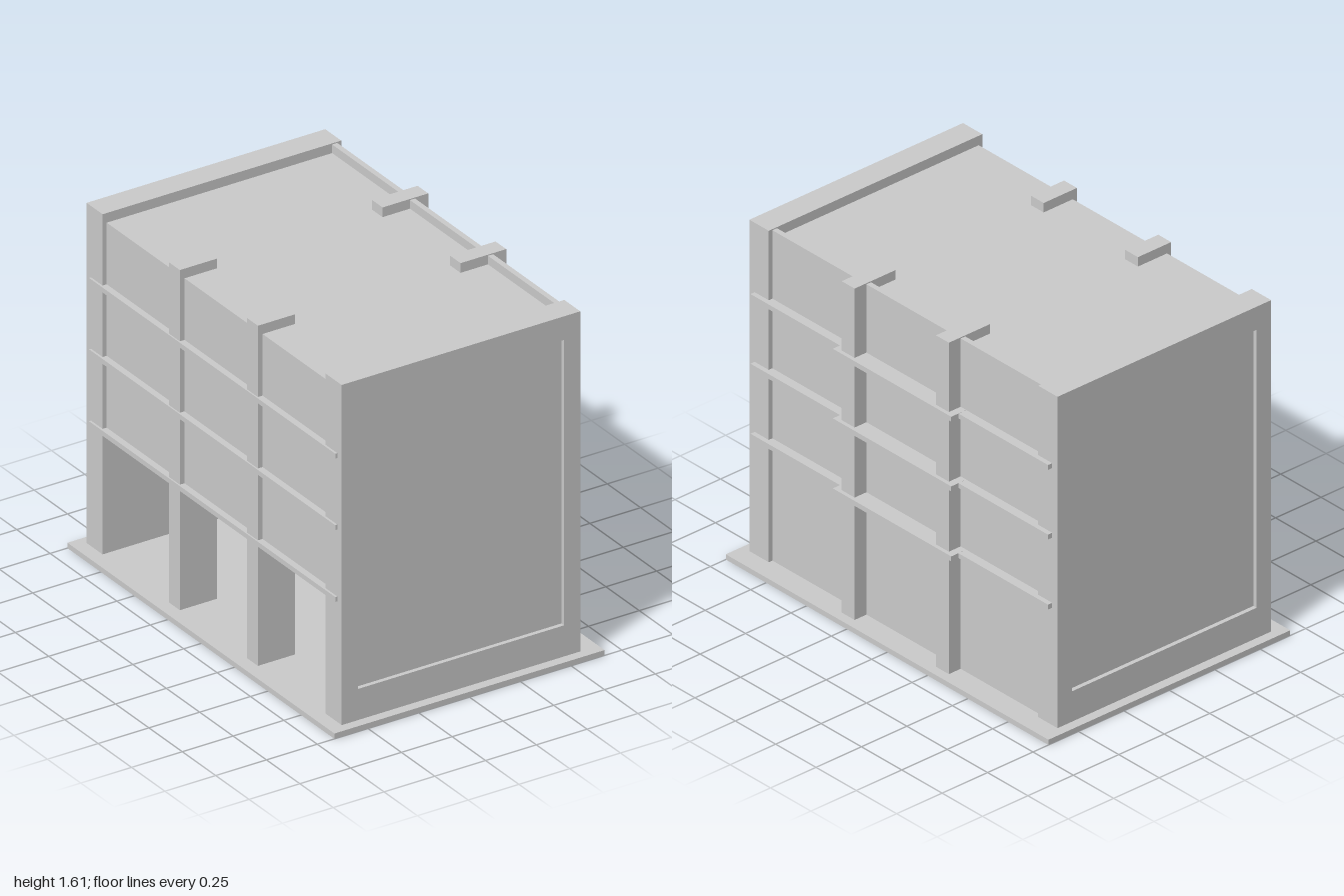
import * as THREE from 'three';

const material = new THREE.MeshStandardMaterial({ color: 0xcccccc, flatShading: true });

export function createModel() {
  const model = new THREE.Group();

  // Box given by its limits on each axis
  function block(name, [x0, x1], [y0, y1], [z0, z1], parent = model) {
    const mesh = new THREE.Mesh(new THREE.BoxGeometry(x1 - x0, y1 - y0, z1 - z0), material);
    mesh.position.set((x0 + x1) / 2, (y0 + y1) / 2, (z0 + z1) / 2);
    mesh.name = name;
    parent.add(mesh);
  }

  const top = 1.61, baseTop = 0.025;
  block('basePlate', [-0.665, 0.665], [0, baseTop], [-1, 1]);

  // Upper storeys over the open arcade, and the full-height side wall with its parapet
  block('upperStoreys', [-0.58, 0.53], [0.59, 1.565], [-0.84, 0.84]);
  block('sideWall', [0.53, 0.555], [baseTop, 1.605], [-0.84, 0.84]);

  // Gable slabs with a shallow recessed panel on the outside
  const rect = (s, x0, x1, y0, y1) =>
    s.moveTo(x0, y0).lineTo(x1, y0).lineTo(x1, y1).lineTo(x0, y1).closePath();
  const recess = 0.02, inner = 0.835, outer = 0.955;
  for (const side of [1, -1]) {
    const gable = new THREE.Group();
    gable.name = side > 0 ? 'frontGable' : 'backGable';
    const zCore = side > 0 ? [inner, outer - recess] : [recess - outer, -inner];
    block('gableCore', [-0.6, 0.575], [baseTop, top], zCore, gable);

    const outline = rect(new THREE.Shape(), -0.6, 0.575, baseTop, top);
    outline.holes.push(rect(new THREE.Path(), -0.52, 0.495, 0.17, 1.5));
    const frame = new THREE.Mesh(
      new THREE.ExtrudeGeometry(outline, { depth: recess, bevelEnabled: false }), material);
    frame.position.z = side > 0 ? outer - recess : -outer;
    frame.name = 'gableFrame';
    gable.add(frame);
    model.add(gable);
  }

  // Columns, rising slightly above the roof
  for (const z of [-0.292, 0.292]) {
    const span = [z - 0.04, z + 0.04];
    block('rightColumn', [-0.603, -0.42], [baseTop, top], span);
    block('leftColumn', [0.395, 0.62], [baseTop, top], span);
  }

  // Floor ledges on both sides, deeper between the columns on the left
  for (const y of [0.587, 0.922, 1.255]) {
    const height = [y, y + 0.023];
    block('rightLedge', [-0.61, -0.57], height, [-0.922, 0.922]);
    block('leftLedge', [0.54, 0.598], height, [-0.922, 0.922]);
    block('leftLedgeCentre', [0.54, 0.638], [y - 0.0005, y + 0.0235], [-0.367, 0.367]);
  }

  return model;
}
